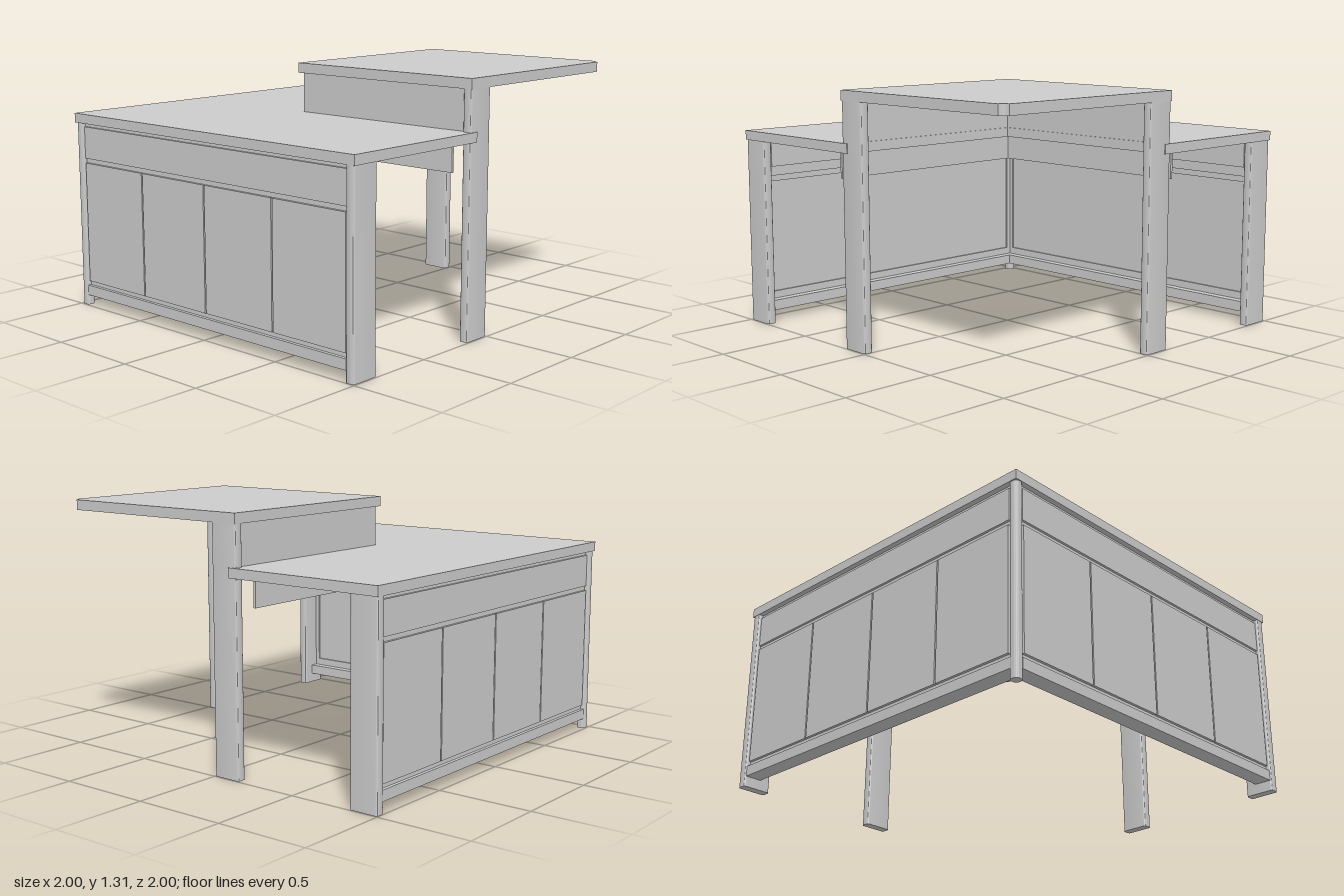
import * as THREE from 'three';
import { toCreasedNormals } from 'three/addons/utils/BufferGeometryUtils.js';

const grey = new THREE.MeshStandardMaterial({ color: 0xcccccc });

function add(parent, name, geometry) {
  const mesh = new THREE.Mesh(geometry, grey);
  mesh.name = name;
  parent.add(mesh);
  return mesh;
}

// Box given by its limits; swap exchanges x and z for the second arm
function box(parent, name, swap, [x0, x1], [y0, y1], [z0, z1]) {
  if (swap) [x0, x1, z0, z1] = [z0, z1, x0, x1];
  const mesh = add(parent, name, new THREE.BoxGeometry(x1 - x0, y1 - y0, z1 - z0));
  mesh.position.set((x0 + x1) / 2, (y0 + y1) / 2, (z0 + z1) / 2);
}

// Upright post with a rounded rectangular footprint
function post(parent, name, swap, [x0, x1], [z0, z1], height, r) {
  if (swap) [x0, x1, z0, z1] = [z0, z1, x0, x1];
  const w = (x1 - x0) / 2, d = (z1 - z0) / 2, s = new THREE.Shape();
  s.absarc(w - r, d - r, r, 0, Math.PI / 2);
  s.absarc(r - w, d - r, r, Math.PI / 2, Math.PI);
  s.absarc(r - w, r - d, r, Math.PI, Math.PI * 1.5);
  s.absarc(w - r, r - d, r, Math.PI * 1.5, Math.PI * 2);
  s.closePath();
  const g = new THREE.ExtrudeGeometry(s, { depth: height, bevelEnabled: false, curveSegments: 6 });
  g.rotateX(-Math.PI / 2);
  add(parent, name, toCreasedNormals(g, 0.6)).position.set((x0 + x1) / 2, 0, (z0 + z1) / 2);
}

// Horizontal slab; the outline is drawn in x and -z
function slab(parent, name, shape, y, thickness) {
  const g = new THREE.ExtrudeGeometry(shape, { depth: thickness, bevelEnabled: false, curveSegments: 8 });
  g.rotateX(-Math.PI / 2);
  add(parent, name, toCreasedNormals(g, 0.6)).position.y = y;
}

// One arm along the back edge; swapped, it becomes the arm along the right edge
function buildArm(swap) {
  const arm = new THREE.Group();
  arm.name = swap ? 'sideArm' : 'backArm';
  const b = (name, x, y, z) => box(arm, name, swap, x, y, z);

  // End leg and tall leg under the raised top
  post(arm, 'endLeg', swap, [0.945, 0.995], [-0.998, -0.84], 1, 0.012);
  post(arm, 'tallLeg', swap, [0.945, 0.995], [-0.155, 0], 1.26, 0.012);

  // Outer wall with rails
  b('wallPanel', [-0.95, 0.95], [0.1, 1], [-0.972, -0.955]);
  b('bottomRail', [-0.95, 0.95], [0.055, 0.11], [-0.99, -0.9]);
  b('middleRail', [-0.945, 0.945], [0.8, 0.86], [-0.956, -0.915]);
  b('upperBand', [-0.94, 0.94], [0.81, 0.98], [-0.984, -0.971]);

  // Four cover panels on the outside
  for (let i = 0; i < 4; i++) {
    const x = -0.94 + i * 0.47;
    b('coverPanel', [x + 0.004, x + 0.466], [0.135, 0.785], [-0.986, -0.971]);
  }

  // Raised frame on the inside
  b('innerFrameBottom', [-0.945, 0.945], [0.11, 0.15], [-0.956, -0.945]);
  b('innerFrameTop', [-0.945, 0.945], [0.765, 0.8], [-0.956, -0.945]);
  b('innerFrameEnd', [0.92, 0.945], [0.15, 0.765], [-0.956, -0.945]);
  b('innerFrameCorner', [-0.945, -0.92], [0.15, 0.765], [-0.956, -0.945]);

  // Hanging plates under the worktop
  b('wallDuct', [-0.85, 0.94], [0.86, 0.99], [-0.862, -0.85]);
  b('apron', [-0.235, 0.945], [0.86, 1], [-0.235, -0.222]);

  // Riser between the worktop and the raised top
  b('riser', [-0.135, 0.975], [1.05, 1.26], [-0.135, -0.115]);
  return arm;
}

export function createModel() {
  const model = new THREE.Group();
  model.name = 'cornerDesk';
  model.add(buildArm(false), buildArm(true));
  post(model, 'cornerPost', false, [-0.995, -0.945], [-0.995, -0.945], 1, 0.02);

  // L-shaped worktop
  const worktop = new THREE.Shape([
    [-1, 1], [-1, -1], [-0.11, -1], [-0.11, 0.11], [1, 0.11], [1, 1],
  ].map(([x, y]) => new THREE.Vector2(x, y)));
  slab(model, 'worktop', worktop, 1, 0.05);

  // Raised square top with a hollowed front corner
  const top = new THREE.Shape();
  top.moveTo(-0.155, 0.155);
  top.lineTo(-0.155, -0.997);
  top.lineTo(0.962, -0.997);
  top.absarc(0.997, -0.997, 0.035, Math.PI, Math.PI / 2, true);
  top.lineTo(0.997, 0.155);
  top.closePath();
  slab(model, 'raisedTop', top, 1.26, 0.053);
  return model;
}
